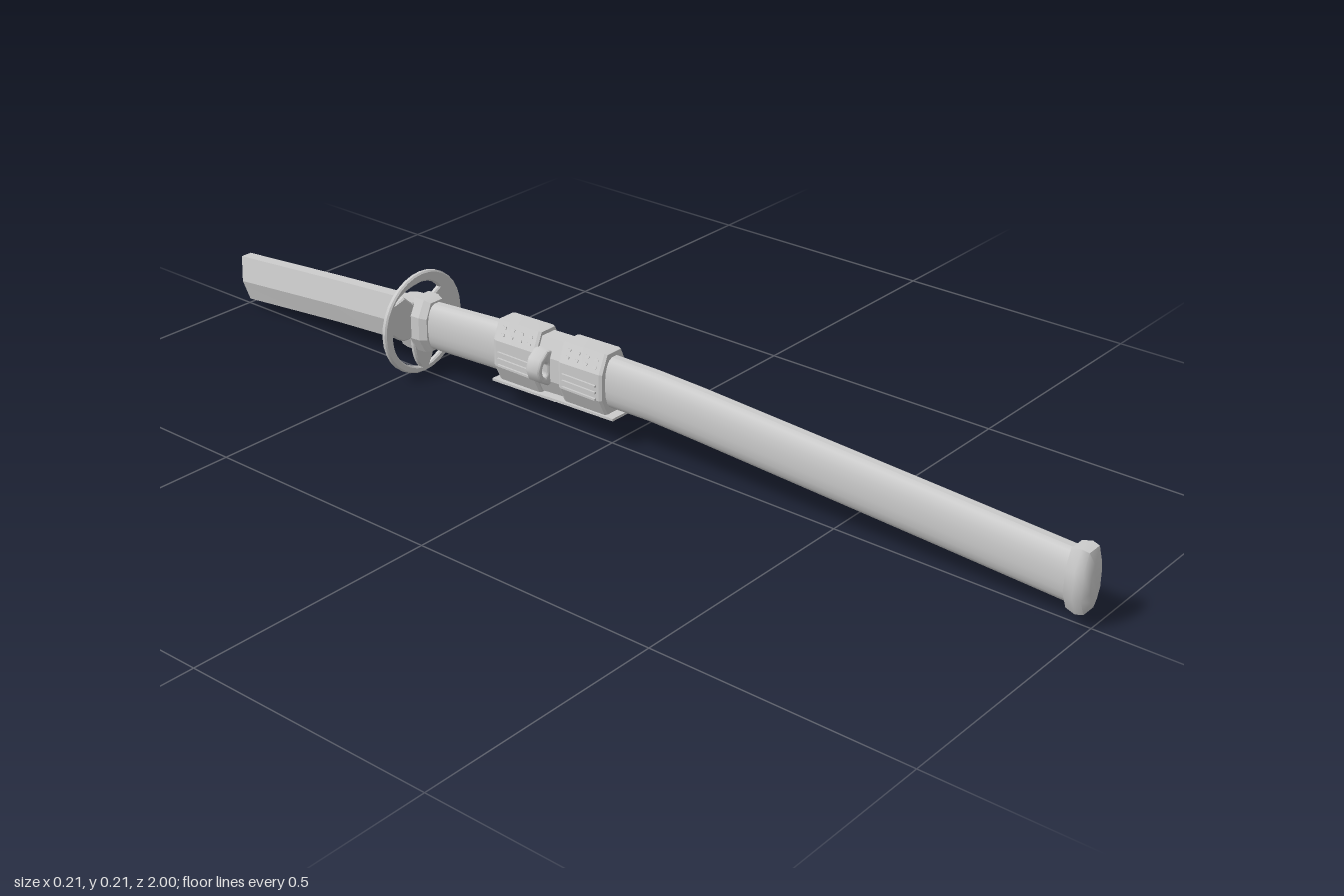
import * as THREE from 'three';
import { toCreasedNormals } from 'three/addons/utils/BufferGeometryUtils.js';

const grey = new THREE.MeshStandardMaterial({ color: 0xcccccc });

// Unit cross-sections, counter-clockwise seen from +z
const mirrorProfile = (right) => [...right, ...right.slice().reverse().map(([x, y]) => [-x, y])];
const OVAL = Array.from({ length: 20 }, (_, i) => {
  const a = ((i + 0.5) / 20) * Math.PI * 2;
  const c = Math.cos(a), s = Math.sin(a);
  return [Math.sign(c) * Math.abs(c) ** 0.75, Math.sign(s) * Math.abs(s) ** 0.9];
});
const HEX = mirrorProfile([[0.5, -1], [1, -0.1], [0.55, 1]]);
const OCT = mirrorProfile([[0.55, -1], [1, -0.45], [1, 0.4], [0.55, 1]]);

// Skin of rings [z, top, bottom, halfWidth], running from +z to -z; slant shears the last ring
function loft(profile, rings, crease = 0.6, slant = 0) {
  const n = profile.length, pos = [], idx = [];
  rings.forEach(([z, top, bottom, w], i) => {
    for (const [x, y] of profile) {
      const shear = i === rings.length - 1 ? slant * (1 - y) / 2 : 0;
      pos.push(x * w, (top + bottom) / 2 + y * (top - bottom) / 2, z + shear);
    }
  });
  for (let i = 0; i < rings.length - 1; i++) {
    for (let j = 0; j < n; j++) {
      const a = i * n + j, b = i * n + (j + 1) % n;
      idx.push(a, a + n, b, b, a + n, b + n);
    }
  }
  const last = (rings.length - 1) * n;
  for (let j = 1; j < n - 1; j++) {
    idx.push(0, j, j + 1, last, last + j + 1, last + j);
  }
  const g = new THREE.BufferGeometry();
  g.setAttribute('position', new THREE.Float32BufferAttribute(pos, 3));
  g.setIndex(idx);
  return toCreasedNormals(g, crease);
}

export function createModel() {
  const model = new THREE.Group();
  model.name = 'sheathedSword';
  const add = (name, geometry, x = 0, y = 0, z = 0) => {
    const mesh = new THREE.Mesh(geometry, grey);
    mesh.name = name;
    mesh.position.set(x, y, z);
    model.add(mesh);
    return mesh;
  };

  // Curved scabbard
  add('scabbard', loft(OVAL, [
    [0.97, 0.138, 0.036, 0.026], [0.7, 0.152, 0.05, 0.026], [0.4, 0.167, 0.065, 0.026],
    [0.2, 0.177, 0.075, 0.026], [0.1, 0.18, 0.079, 0.026], [0, 0.18, 0.077, 0.026],
    [-0.15, 0.176, 0.073, 0.026], [-0.3, 0.168, 0.067, 0.026], [-0.47, 0.156, 0.059, 0.026],
  ]));

  // Domed end cap
  add('endCap', loft(OCT, [
    [1, 0.122, 0.052, 0.016], [0.992, 0.143, 0.03, 0.029],
    [0.978, 0.146, 0.027, 0.033], [0.96, 0.141, 0.032, 0.03],
  ], 0.9));

  // Handle with a slanted end
  add('handle', loft(HEX, [
    [-0.46, 0.154, 0.06, 0.022], [-0.72, 0.134, 0.042, 0.022], [-1, 0.11, 0.018, 0.022],
  ], 0.3, 0.016));

  // Collars on both sides of the guard
  add('scabbardMouth', loft(OCT, [
    [-0.445, 0.161, 0.06, 0.029], [-0.46, 0.165, 0.055, 0.036], [-0.485, 0.165, 0.053, 0.036],
  ], 0.3));
  add('handleCollar', loft(OCT, [
    [-0.485, 0.16, 0.05, 0.029], [-0.515, 0.157, 0.048, 0.027], [-0.53, 0.153, 0.05, 0.024],
  ], 0.3));

  // Round guard with three openings
  const disc = new THREE.Shape().absarc(0, 0, 0.105, 0, Math.PI * 2);
  const topHole = new THREE.Path();
  topHole.moveTo(-0.075, 0.06);
  topHole.quadraticCurveTo(-0.05, 0.084, 0, 0.085);
  topHole.quadraticCurveTo(0.03, 0.082, 0.046, 0.06);
  topHole.lineTo(0.028, 0.05);
  topHole.lineTo(-0.03, 0.05);
  topHole.lineTo(-0.05, 0.068);
  disc.holes.push(topHole);
  for (const s of [-1, 1]) {
    const hole = new THREE.Path();
    hole.moveTo(s * 0.083, -0.002);
    hole.quadraticCurveTo(s * 0.086, -0.07, s * 0.012, -0.092);
    hole.quadraticCurveTo(s * 0.03, -0.07, s * 0.03, -0.022);
    hole.quadraticCurveTo(s * 0.06, -0.03, s * 0.083, -0.002);
    disc.holes.push(hole);
  }
  const guard = new THREE.ExtrudeGeometry(disc, {
    depth: 0.006, bevelEnabled: true, bevelThickness: 0.003, bevelSize: 0.003,
    bevelOffset: -0.003, bevelSegments: 1, curveSegments: 16,
  });
  add('guard', toCreasedNormals(guard, 0.5), 0, 0.106, -0.49);

  // Two armoured bands joined by a narrower one
  const bands = [[0.005, -0.1, 0.188, 0.068], [-0.155, -0.262, 0.186, 0.064]];
  add('middleBand', loft(OCT, [[-0.1, 0.181, 0.07, 0.031], [-0.155, 0.179, 0.067, 0.031]], 0.3));
  bands.forEach(([z0, z1, top, bottom], k) => {
    add('band', loft(OCT, [
      [z0, top, bottom, 0.034], [z0 - 0.006, top + 0.001, bottom - 0.002, 0.037],
      [z1 + 0.006, top - 0.002, bottom - 0.004, 0.037], [z1, top - 0.003, bottom - 0.003, 0.034],
    ], 0.3));
    const zMid = (z0 + z1) / 2;
    for (const s of [-1, 1]) {
      // Louvres along the lower side
      for (let i = 0; i < 3; i++) {
        add('louvre', new THREE.BoxGeometry(0.006, 0.004, 0.08), s * 0.038, bottom + 0.034 + i * 0.013, zMid);
      }
      // Two rows of studs on the upper slope
      for (let row = 0; row < 2; row++) {
        for (let i = 0; i < 4; i++) {
          const stud = add('stud', new THREE.BoxGeometry(0.003, 0.005, 0.009),
            s * (0.032 - row * 0.006), top - 0.026 + row * 0.013, zMid + (i - 1.5) * 0.022);
          stud.rotation.z = s * 0.45;
        }
      }
    }
    // Thin plate under the band
    const plate = add('underPlate', new THREE.BoxGeometry(0.044, 0.005, 0.16), 0, 0.06 - k * 0.005, -0.06 - k * 0.14);
    plate.rotation.x = -0.03;
  });

  // Cord knob on the right side, with a hole through it
  const knob = new THREE.Shape();
  [[-0.036, 0], [-0.028, -0.022], [-0.008, -0.034], [0.012, -0.03], [0.012, 0.034], [-0.01, 0.036], [-0.028, 0.022]]
    .forEach(([x, y], i) => (i ? knob.lineTo(x, y) : knob.moveTo(x, y)));
  knob.closePath();
  knob.holes.push(new THREE.Path().absellipse(-0.016, 0, 0.008, 0.014, 0, Math.PI * 2));
  const knobGeometry = new THREE.ExtrudeGeometry(knob, {
    depth: 0.026, bevelEnabled: true, bevelThickness: 0.004, bevelSize: 0.004,
    bevelOffset: -0.004, bevelSegments: 2, curveSegments: 6,
  });
  add('cordKnob', toCreasedNormals(knobGeometry, 0.9), -0.027, 0.126, -0.154);

  return model;
}
